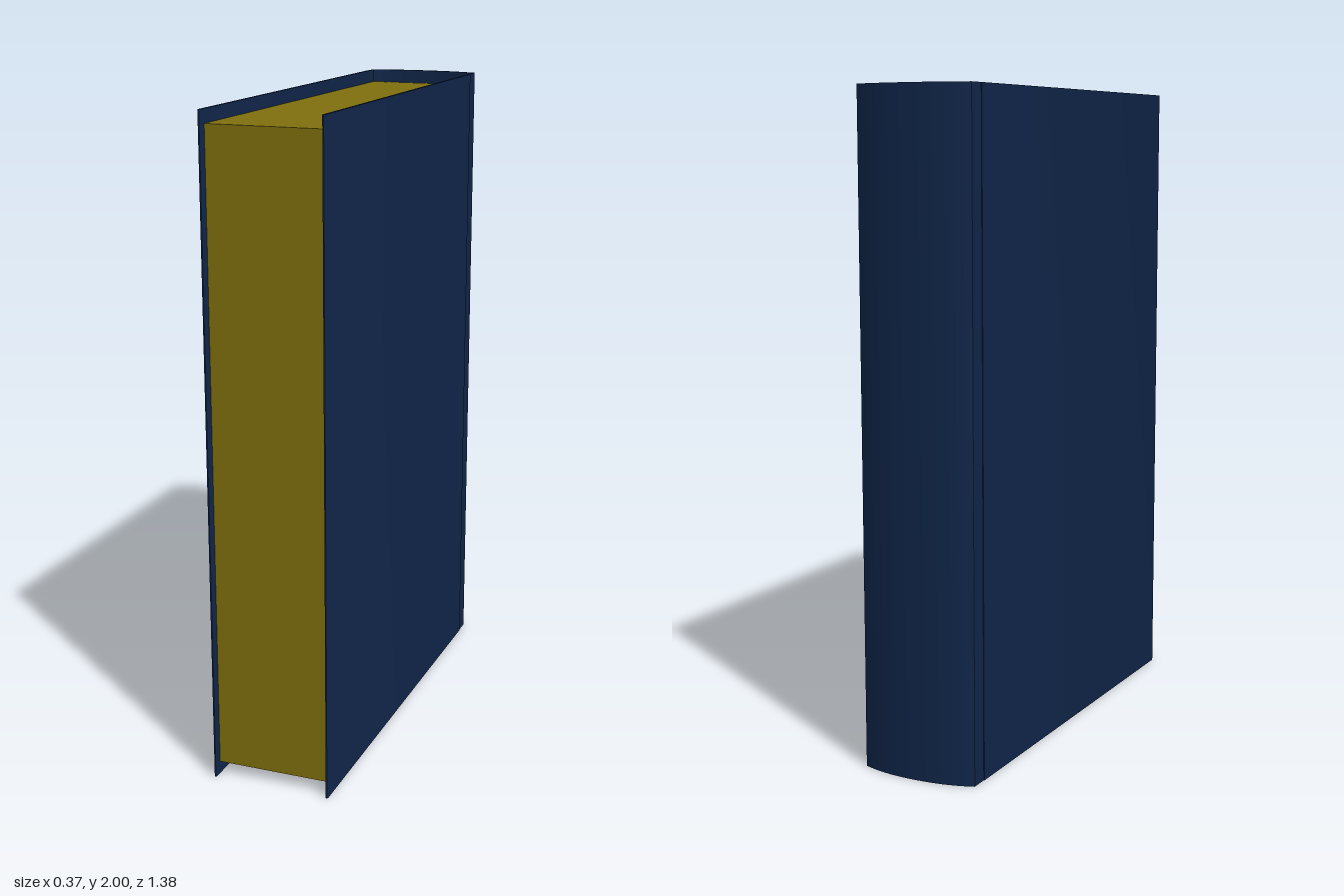
import * as THREE from 'three';
import { toCreasedNormals } from 'three/addons/utils/BufferGeometryUtils.js';

const HEIGHT = 2;
const navy = new THREE.MeshStandardMaterial({ color: 0x10264a });
const ochre = new THREE.MeshStandardMaterial({ color: 0x80700e });

// Stand a plan outline, given as [x, z] points, upright along y.
function upright(points, height) {
  const shape = new THREE.Shape(points.map(([x, z]) => new THREE.Vector2(x, -z)));
  const geometry = new THREE.ExtrudeGeometry(shape, { depth: height, bevelEnabled: false });
  geometry.rotateX(-Math.PI / 2);
  return toCreasedNormals(geometry, 0.6);
}

function add(group, name, geometry, material) {
  const mesh = new THREE.Mesh(geometry, material);
  mesh.name = name;
  group.add(mesh);
  return mesh;
}

// Bowed line across the back, from the right edge to the left edge.
function bow(halfWidth, edgeZ, depth, steps = 24) {
  return Array.from({ length: steps + 1 }, (_, i) => {
    const u = -Math.cos((i / steps) * Math.PI);
    return [u * halfWidth, edgeZ - depth * (1 - Math.abs(u) ** 2.3)];
  });
}

export function createModel() {
  const book = new THREE.Group();
  book.name = 'book';

  // Page block, set back from the cover edges
  const pages = add(book, 'pages', new THREE.BoxGeometry(0.352, 1.92, 1.325), ochre);
  pages.position.set(0, 1, 0.0025);

  // Cover boards with a slightly rounded front edge
  for (const [side, name] of [[1, 'leftCover'], [-1, 'rightCover']]) {
    const outline = [
      [0.177, -0.605], [0.185, -0.605], [0.185, 0.685],
      [0.183, 0.69], [0.179, 0.69], [0.177, 0.685],
    ].map(([x, z]) => [x * side, z]);
    add(book, name, upright(outline, HEIGHT), navy);
  }

  // Hollow rounded spine, its hinges reaching forward to the boards
  const outer = bow(0.183, -0.66, 0.032);
  const inner = bow(0.177, -0.656, 0.025).reverse();
  const spine = [[-0.183, -0.605], ...outer, [0.183, -0.605], [0.177, -0.605], ...inner, [-0.177, -0.605]];
  add(book, 'spine', upright(spine, HEIGHT), navy);

  return book;
}
